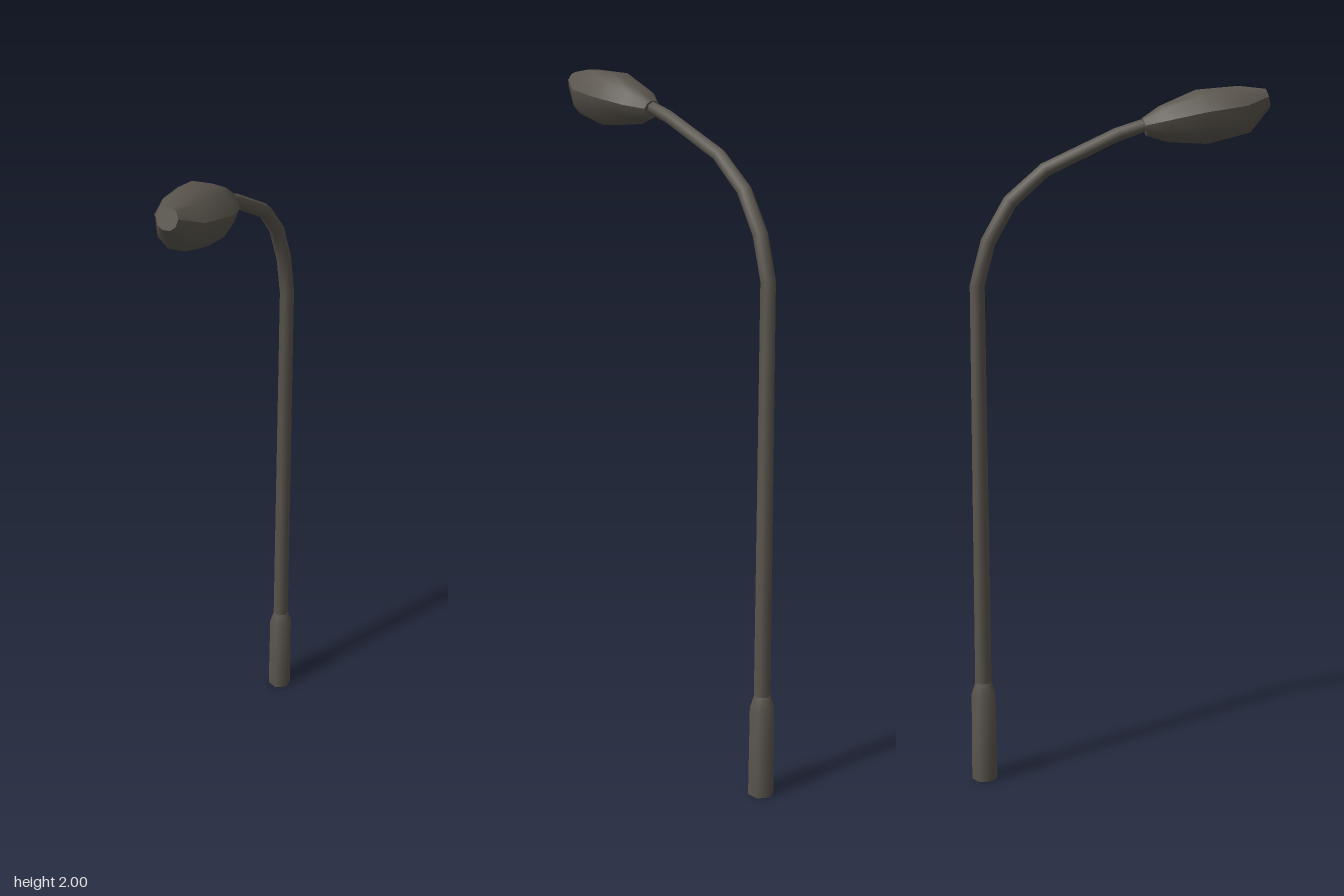
import * as THREE from 'three';
import { toCreasedNormals } from 'three/addons/utils/BufferGeometryUtils.js';

const rad = THREE.MathUtils.degToRad;

// Counter-clockwise unit cross-section from angles in degrees
const profileOf = (angles, scale = 1) =>
  angles.map((a) => [Math.cos(rad(a)) * scale, Math.sin(rad(a)) * scale]);

// Capped loft along the yz plane; section = [z, y, tilt in degrees, rx, rv]
function loft(profile, sections, crease) {
  const pos = [];
  const rings = sections.map(([z, y, tilt, rx, rv]) => {
    const c = Math.cos(rad(tilt)), s = Math.sin(rad(tilt));
    return profile.map(([u, v]) => [u * rx, y + v * rv * c, z - v * rv * s]);
  });
  const tri = (a, b, c) => pos.push(...a, ...b, ...c);
  const n = profile.length;
  for (let i = 0; i < rings.length - 1; i++) {
    for (let j = 0; j < n; j++) {
      const k = (j + 1) % n, A = rings[i], B = rings[i + 1];
      tri(A[j], A[k], B[k]);
      tri(A[j], B[k], B[j]);
    }
  }
  const first = rings[0], last = rings[rings.length - 1];
  for (let j = 1; j < n - 1; j++) {
    tri(first[0], first[j + 1], first[j]);
    tri(last[0], last[j], last[j + 1]);
  }
  const g = new THREE.BufferGeometry();
  g.setAttribute('position', new THREE.Float32BufferAttribute(pos, 3));
  return toCreasedNormals(g, crease);
}

export function createModel() {
  const group = new THREE.Group();
  const metal = new THREE.MeshStandardMaterial({ color: 0x5a554d });
  metal.name = 'dark metal';
  const add = (name, geometry) => {
    const mesh = new THREE.Mesh(geometry, metal);
    mesh.name = name;
    group.add(mesh);
  };

  const hex = profileOf([30, 90, 150, 210, 270, 330]);
  const pz = -0.397;

  // Thick foot with a short tapered collar
  add('base', loft(hex, [
    [pz, 0, 90, 0.037, 0.037],
    [pz, 0.26, 90, 0.035, 0.035],
    [pz, 0.295, 90, 0.024, 0.024],
  ], 1.2));

  // Straight pole bending forward into the arm
  add('poleAndArm', loft(hex, [
    [pz, 0.25, 90, 0.024, 0.024],
    [pz, 1.45, 84, 0.021, 0.021],
    [-0.365, 1.57, 68, 0.021, 0.021],
    [-0.303, 1.68, 50, 0.021, 0.021],
    [-0.205, 1.768, 33, 0.02, 0.02],
    [0, 1.866, 23, 0.019, 0.019],
    [0.09, 1.896, 17, 0.018, 0.018],
  ], 1.2));

  // Lamp head: two shells meeting at a slightly stepped seam
  const head = [
    [0.073, 1.885, 16, 0.028, 0.026],
    [0.13, 1.893, 16, 0.064, 0.054],
    [0.235, 1.912, 16, 0.087, 0.08],
    [0.352, 1.933, 16, 0.066, 0.07],
    [0.421, 1.966, 16, 0.029, 0.028],
  ];
  add('upperShell', loft(profileOf([7, 45, 72, 108, 135, 173], 1.02), head, 0.9));
  add('lowerShell', loft(profileOf([173, 215, 250, 290, 325, 367], 0.98), head, 0.9));

  return group;
}
